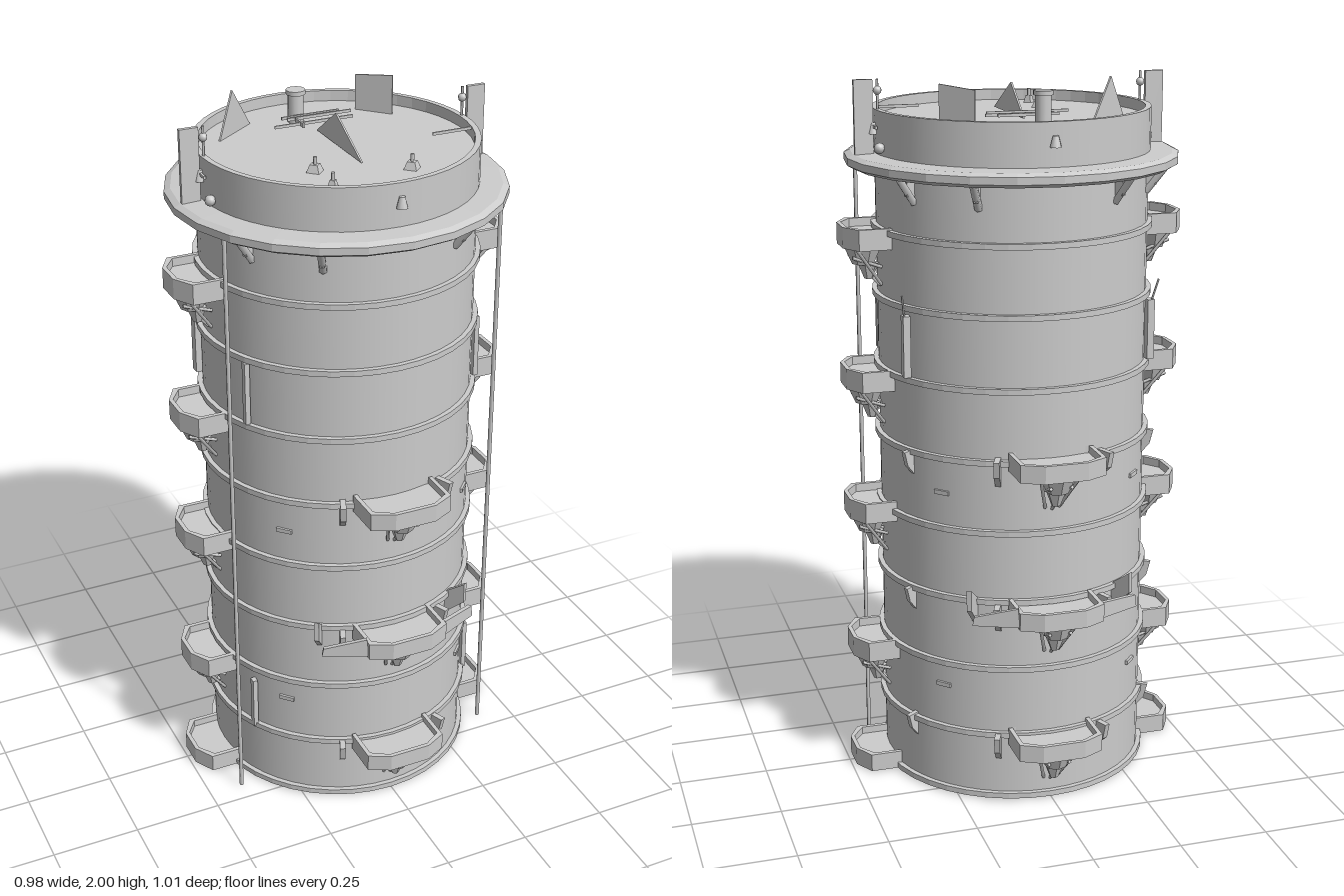
import * as THREE from 'three';

export function createModel() {
  const root = new THREE.Group();
  const grey = new THREE.MeshStandardMaterial({ color: 0xcccccc, side: THREE.DoubleSide });
  grey.name = 'light grey';

  const add = (name, geo, parent = root, x = 0, y = 0, z = 0) => {
    const m = new THREE.Mesh(geo, grey);
    m.name = name;
    m.position.set(x, y, z);
    parent.add(m);
    return m;
  };
  const box = (name, w, h, d, x, y, z, parent = root) =>
    add(name, new THREE.BoxGeometry(w, h, d), parent, x, y, z);
  const flat = (g) => { const n = g.toNonIndexed(); n.computeVertexNormals(); return n; };
  const lathe = (name, pts, sides) =>
    add(name, flat(new THREE.LatheGeometry(pts.map(p => new THREE.Vector2(...p)), sides)));
  // Thin rod between two points
  const rod = (name, a, b, r, parent = root, sides = 5) => {
    const A = new THREE.Vector3(...a), B = new THREE.Vector3(...b), d = B.clone().sub(A);
    const m = add(name, new THREE.CylinderGeometry(r, r, d.length(), sides), parent);
    m.position.copy(A).add(B).multiplyScalar(0.5);
    m.quaternion.setFromUnitVectors(new THREE.Vector3(0, 1, 0), d.normalize());
    return m;
  };
  // Upright plate cut from corner points in its own plane
  const plate = (name, pts, t, x, y, z, turn, parent = root) => {
    const s = new THREE.Shape(pts.map(p => new THREE.Vector2(...p)));
    const g = new THREE.ExtrudeGeometry(s, { depth: t, bevelEnabled: false });
    g.translate(0, 0, -t / 2);
    const m = add(name, g, parent, x, y, z);
    m.rotation.y = turn;
    return m;
  };
  // Group whose +z points outward from the tower
  const facing = (name, angle, y) => {
    const g = new THREE.Group();
    g.name = name;
    g.rotation.y = angle;
    g.position.y = y;
    root.add(g);
    return g;
  };

  // Tower shell, parapet and roof
  add('towerBody', new THREE.CylinderGeometry(0.378, 0.378, 1.79, 48), root, 0, 0.895, 0);
  const wall = [[0.383, 1.78], [0.383, 1.91], [0.367, 1.91], [0.367, 1.88]];
  add('parapet', new THREE.LatheGeometry(wall.slice(0, 2).map(p => new THREE.Vector2(...p)), 48));
  lathe('parapetRim', wall.slice(1), 48);
  const roof = add('roofDeck', new THREE.CircleGeometry(0.368, 48), root, 0, 1.88, 0);
  roof.rotation.x = -Math.PI / 2;

  // Floor bands
  for (const y of [0.012, 0.2, 0.4, 0.6, 0.8, 1.0, 1.2, 1.4, 1.59])
    lathe('floorBand', [[0.376, y - 0.008], [0.392, y - 0.008], [0.392, y + 0.008], [0.376, y + 0.008]], 40);

  // Wide gallery ring with brackets
  lathe('galleryRing', [[0.378, 1.752], [0.445, 1.752], [0.462, 1.762], [0.462, 1.782], [0.445, 1.79], [0.378, 1.793]], 24);
  for (const deg of [30, 60, 120, 150, 210, 240, 300, 330]) {
    const g = facing('galleryBracket', deg * Math.PI / 180, 0);
    rod('bracketStrut', [0, 1.685, 0.375], [0, 1.757, 0.43], 0.011, g, 6);
    box('bracketRib', 0.012, 0.05, 0.03, 0, 1.73, 0.39, g);
  }

  // Tray balcony: raised edge around a thin floor
  const balcony = (g, w, tipW, shoulder, reach, h) => {
    const outline = (k) => [[-w + k, 0.365], [-w + k, shoulder - k], [-tipW, reach - k],
      [tipW, reach - k], [w - k, shoulder - k], [w - k, 0.365]].map(p => new THREE.Vector2(p[0], -p[1]));
    const s = new THREE.Shape(outline(0));
    const floor = new THREE.ExtrudeGeometry(s, { depth: h * 0.6, bevelEnabled: false });
    const edge = new THREE.Shape(outline(0));
    edge.holes.push(new THREE.Path(outline(0.012)));
    const rail = new THREE.ExtrudeGeometry(edge, { depth: h, bevelEnabled: false });
    for (const [n, geo] of [['balconyFloor', floor], ['balconyEdge', rail]])
      add(n, geo.rotateX(-Math.PI / 2), g);
  };
  // Tapered pod with struts under a balcony
  const pod = (g) => {
    add('podCup', flat(new THREE.CylinderGeometry(0.05, 0.03, 0.045, 7)), g, 0, -0.03, 0.425);
    add('podTip', flat(new THREE.CylinderGeometry(0.028, 0.012, 0.04, 6)), g, 0, -0.075, 0.41);
    for (const s of [-1, 1]) {
      rod('podStrut', [s * 0.02, -0.11, 0.378], [s * 0.058, 0, 0.455], 0.005, g);
      rod('podRib', [s * 0.025, -0.06, 0.378], [s * 0.03, -0.03, 0.46], 0.005, g);
    }
    rod('podKeel', [0, -0.115, 0.378], [0, -0.02, 0.465], 0.005, g);
  };

  // Side balconies
  for (const side of [-1, 1])
    [0.003, 0.35, 0.77, 1.15, 1.545].forEach((y, i) => {
      const g = facing('sideBalcony', side * Math.PI / 2, y);
      balcony(g, 0.098, 0.04, 0.455, 0.488, i ? 0.058 : 0.052);
      if (i) pod(g);
    });

  // Front and back balconies with wing brackets
  for (const turn of [0, Math.PI])
    for (const y of [0.17, 0.56, 0.98]) {
      const g = facing(turn ? 'backBalcony' : 'frontBalcony', turn, y);
      balcony(g, 0.12, 0.06, 0.475, 0.505, 0.05);
      pod(g);
      for (const s of [-1, 1]) {
        const wing = new THREE.Group();
        wing.name = 'wingBracket';
        wing.rotation.y = s * 0.39;
        g.add(wing);
        plate('wingFin', [[0.37, 0.035], [0.43, 0.035], [0.42, -0.01], [0.375, -0.05]], 0.016, 0, 0, 0, -Math.PI / 2, wing);
        if (y === 0.56) {
          // Swept side screens of the middle balconies
          plate('sideScreen', [[-0.065, 0.015], [0.065, 0.015], [0.06, 0.06 - s * 0.01], [-0.06, 0.05 + s * 0.01]],
            0.012, s * 0.175, -0.01, 0.435, s * 0.42, g);
          plate('screenFin', [[0.37, 0.04], [0.44, 0.09], [0.44, 0.03], [0.375, -0.03]], 0.014, 0, 0, 0,
            -Math.PI / 2 + s * 0.17, wing);
        }
      }
    }

  // Downpipes and wall strips
  for (const s of [-1, 1]) {
    rod('downpipe', [s * 0.4, 0, 0.19], [s * 0.4, 1.77, 0.19], 0.006, root, 6);
    for (const [y, h] of [[1.3, 0.18], [0.28, 0.16]])
      box('wallStrip', 0.014, h, 0.02, s * 0.345, y, 0.175);
    box('wallPanel', 0.02, 0.17, 0.028, s * 0.35, 1.295, -0.175);
    rod('panelAerial', [s * 0.355, 1.38, -0.18], [s * 0.365, 1.44, -0.2], 0.003);
    for (const y of [0.97, 0.57, 0.18])
      plate('wallFin', [[0.37, 0.035], [0.41, 0.03], [0.4, -0.01], [0.375, -0.04]], 0.014, 0, y, 0,
        s > 0 ? 0.47 : Math.PI - 0.47);
  }

  // Narrow wall slots
  for (const y of [0.33, 0.9])
    for (const deg of [47, 133, 227, 313]) {
      const g = facing('wallSlot', deg * Math.PI / 180, y);
      box('slotLip', 0.045, 0.012, 0.008, 0, 0, 0.38, g);
    }

  // Parapet lamps
  for (let i = 0; i < 4; i++) {
    const g = facing('parapetLamp', i * Math.PI / 2, 1.86);
    add('lampHood', new THREE.CylinderGeometry(0.008, 0.016, 0.03, 8), g, 0, 0, 0.388);
    if (i % 2) for (const x of [-0.03, 0.07])
      add('lampBall', new THREE.SphereGeometry(0.015, 8, 6), g, x, -0.045, 0.388);
  }

  // Masts and tall plates at the sides
  for (const s of [-1, 1]) {
    box('sidePlate', 0.052, 0.21, 0.012, s * 0.415, 1.885, 0);
    rod('mast', [s * 0.375, 1.88, 0], [s * 0.375, 1.99, 0], 0.004);
    add('mastKnob', new THREE.SphereGeometry(0.012, 8, 6), root, s * 0.375, 1.96, 0);
    box('mastCrossbar', 0.006, 0.008, 0.075, s * 0.388, 1.865, 0);
  }

  // Roof equipment
  add('roofPipe', new THREE.CylinderGeometry(0.022, 0.022, 0.09, 12), root, -0.02, 1.925, -0.22);
  add('pipeCap', new THREE.CylinderGeometry(0.027, 0.027, 0.012, 12), root, -0.02, 1.965, -0.22);
  plate('roofFin', [[-0.16, 0], [0.12, 0], [0, 0.085]], 0.005, 0, 1.885, 0, Math.PI / 2);
  plate('leftPanel', [[-0.055, 0], [0.055, 0], [0.055, 0.11], [-0.055, 0.1]], 0.005, 0.21, 1.88, -0.205, -0.83);
  plate('rightPanel', [[-0.08, 0], [0.08, 0], [-0.01, 0.12]], 0.005, -0.205, 1.88, -0.21, 0.66);
  for (const [w, x, z] of [[0.17, 0.01, -0.19], [0.19, 0.03, -0.175], [0.23, -0.005, -0.132], [0.12, 0.3, 0.09]])
    box('roofRail', w, 0.008, 0.005, x, 1.905, z);
  box('roofRailEnd', 0.005, 0.012, 0.055, -0.043, 1.905, -0.14);
  for (const [x, z, r] of [[-0.13, 0.15, 0.025], [0.105, 0.235, 0.025], [-0.135, 0.27, 0.016]]) {
    add('roofVent', flat(new THREE.CylinderGeometry(r * 0.6, r, 0.02, 4)), root, x, 1.89, z);
    add('ventStem', new THREE.CylinderGeometry(0.005, 0.005, 0.04, 6), root, x, 1.9, z);
  }
  return root;
}
